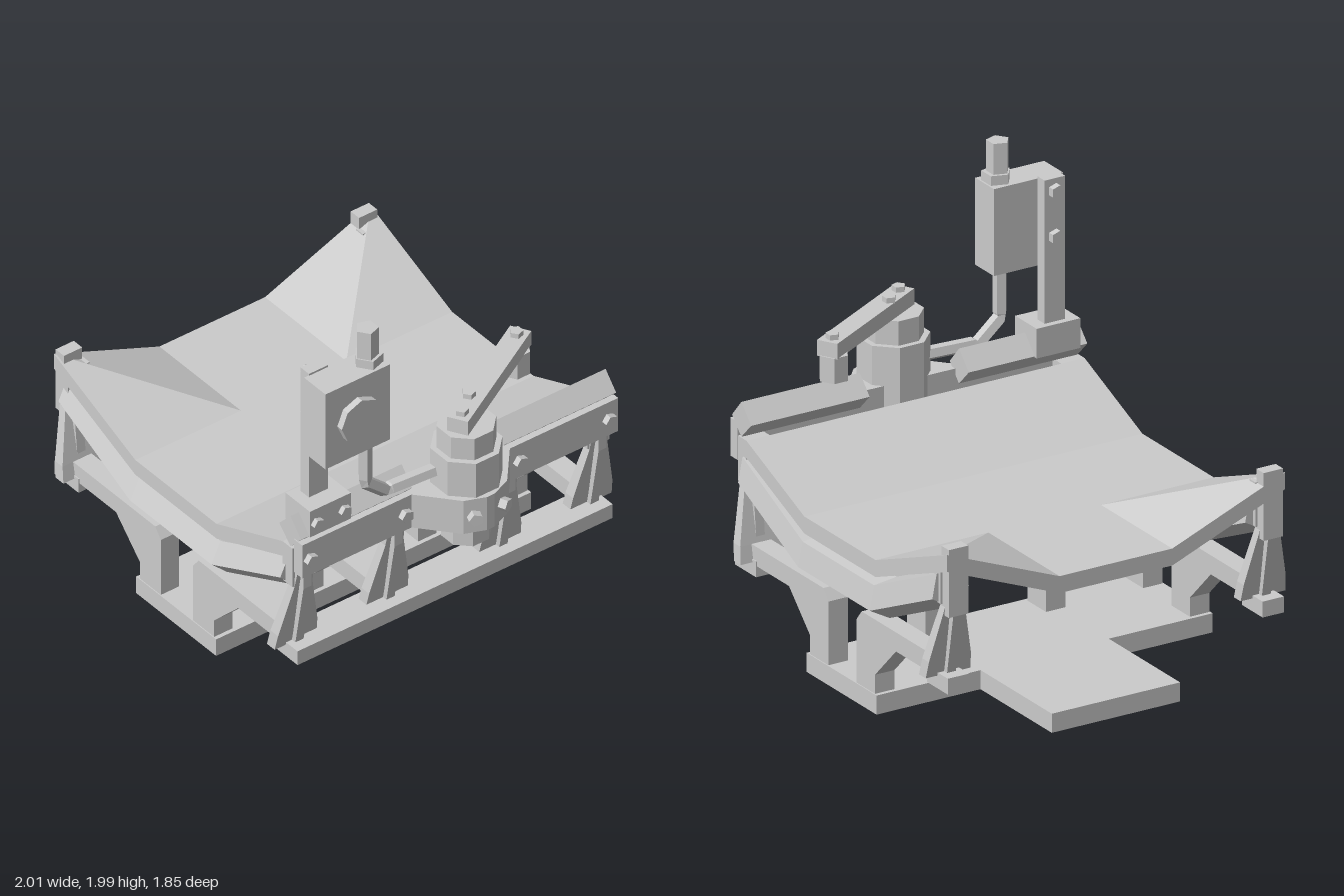
import * as THREE from 'three';

const grey = new THREE.MeshStandardMaterial({ color: 0xcccccc, flatShading: true, side: THREE.DoubleSide });

export function createModel() {
  const root = new THREE.Group();
  const V = (x, y, z) => new THREE.Vector3(x, y, z);

  function add(name, geo, x = 0, y = 0, z = 0) {
    const m = new THREE.Mesh(geo, grey);
    m.name = name;
    m.position.set(x, y, z);
    root.add(m);
    return m;
  }
  // Box given by its extents on each axis
  const box = (name, x0, x1, y0, y1, z0, z1) =>
    add(name, new THREE.BoxGeometry(x1 - x0, y1 - y0, z1 - z0), (x0 + x1) / 2, (y0 + y1) / 2, (z0 + z1) / 2);
  // Upright prism with n sides
  const drum = (name, x, z, y0, y1, r, n, turn = 0) =>
    add(name, new THREE.CylinderGeometry(r, r, y1 - y0, n).rotateY(turn), x, (y0 + y1) / 2, z);
  // Bolt or dial with its axis along x
  const knob = (name, x0, x1, y, z, r = 0.033, n = 5) =>
    add(name, new THREE.CylinderGeometry(r, r, x1 - x0, n).rotateZ(Math.PI / 2), (x0 + x1) / 2, y, z);
  // Outline in x-y extruded along z, centred on z
  const plate = (name, pts, z, depth) =>
    add(name, new THREE.ExtrudeGeometry(new THREE.Shape(pts.map(p => new THREE.Vector2(...p))),
      { depth, bevelEnabled: false }).translate(0, 0, -depth / 2), 0, 0, z);

  function fromTriangles(tris) {
    const g = new THREE.BufferGeometry().setFromPoints(tris);
    g.computeVertexNormals();
    return g;
  }
  // Solid through equal-sized loops, turned outward by its signed volume
  function loft(loops) {
    const t = [], n = loops[0].length, last = loops.length - 1;
    for (let i = 0; i < last; i++) for (let j = 0; j < n; j++) {
      const k = (j + 1) % n, [p, q] = [loops[i], loops[i + 1]];
      t.push(p[j], p[k], q[k], p[j], q[k], q[j]);
    }
    for (let j = 1; j < n - 1; j++) {
      t.push(loops[0][0], loops[0][j + 1], loops[0][j]);
      t.push(loops[last][0], loops[last][j], loops[last][j + 1]);
    }
    let vol = 0;
    for (let i = 0; i < t.length; i += 3) vol += t[i].dot(t[i + 1].clone().cross(t[i + 2]));
    return fromTriangles(vol < 0 ? t.reverse() : t);
  }

  // Base plate with side tongue
  box('basePlate', -0.42, 0.15, 0, 0.09, -0.865, 0.865);
  box('baseTongue', -1, -0.42, 0, 0.09, -0.33, 0.33);

  // Brackets and legs; side 1 is +x, side -1 is mirrored about the base centre
  const mid = -0.135;
  const mx = (side, x) => side > 0 ? x : 2 * mid - x;
  const bracket = [[0.62, 0.44], [0.02, 0.44], [-0.02, 0.39], [-0.02, 0.09], [0.13, 0.09],
    [0.13, 0.18], [0.3, 0.35], [0.62, 0.35]];
  const rib = [[0.6, 0.36], [0.67, 0.36], [0.73, 0.7], [0.73, 0.82], [0.68, 0.82], [0.63, 0.66]];
  for (const side of [1, -1]) {
    for (const z of side > 0 ? [-0.81, -0.31, 0.31, 0.81] : [-0.81, 0.81]) {
      const flip = pts => pts.map(([x, y]) => [mx(side, x), y]);
      plate('supportBracket', flip(bracket), Math.sign(z) * (Math.abs(z) > 0.5 ? 0.81 : 0.31), 0.1);
      plate('legRib', flip(rib), z, 0.045);
      // Flared flange on the inner side of the rib
      const row = (y, x0, x1, h) => [V(mx(side, x0), y, z - h), V(mx(side, x1), y, z - h),
        V(mx(side, x1), y, z + h), V(mx(side, x0), y, z + h)];
      add('legFlange', loft([row(0.36, 0.59, 0.645, 0.115), row(0.44, 0.605, 0.66, 0.108),
        row(0.7, 0.66, 0.7, 0.05), row(0.8, 0.68, 0.72, 0.045)]));
    }
  }
  box('footRail', 0.56, 0.73, 0.3, 0.375, -0.865, 0.865);
  for (const s of [-1, 1]) {
    const z = 0.81 * s;
    box('cornerFoot', -1, -0.83, 0.3, 0.375, z - 0.055, z + 0.055);
    box('cornerPost', -1, -0.94, 0.66, 0.98, z - 0.05, z + 0.05);
    box('tubeClamp', -0.95, -0.9, 0.71, 0.92, z - 0.06, z + 0.06);
    box('tubeClamp', 0.63, 0.7, 0.71, 0.92, z - 0.06, z + 0.06);
  }

  // Bent pentagonal tubes under the deck edges
  for (const zc of [0.8, -0.81]) {
    const ring = ([x, y]) => Array.from({ length: 5 }, (_, i) => {
      const a = (61 + 72 * i) * Math.PI / 180;
      return V(x, y + 0.1 * Math.sin(a), zc + 0.1 * Math.cos(a));
    });
    add('deckTube', loft([[-0.93, 0.775], [-0.42, 0.54], [0.16, 0.54], [0.65, 0.765]].map(ring)));
  }

  // Cradle deck: trough across x, with the middle of the -x end folded flat
  const xs = [-1, -0.42, 0.16, 0.63], zs = [-0.87, -0.29, 0.29, 0.87], thick = 0.08;
  const heights = [0.96, 0.73, 0.73, 0.92];
  const deckPoint = (i, j) => V(xs[i], i === 0 && (j === 1 || j === 2) ? 0.73 : heights[i], zs[j]);
  const drop = p => V(p.x, p.y - thick, p.z);
  const deck = [];
  for (let i = 0; i < 3; i++) for (let j = 0; j < 3; j++) {
    const a = deckPoint(i, j), b = deckPoint(i + 1, j), c = deckPoint(i + 1, j + 1), d = deckPoint(i, j + 1);
    const top = j === 2 ? [a, d, b, b, d, c] : [a, d, c, a, c, b];
    deck.push(...top, ...top.map(drop).reverse());
  }
  const edge = [];
  for (let k = 0; k < 3; k++) edge.push(deckPoint(0, k));
  for (let k = 0; k < 3; k++) edge.push(deckPoint(k, 3));
  for (let k = 3; k > 0; k--) edge.push(deckPoint(3, k));
  for (let k = 3; k > 0; k--) edge.push(deckPoint(k, 0));
  edge.forEach((p, k) => {
    const q = edge[(k + 1) % edge.length];
    deck.push(p, drop(p), drop(q), p, drop(q), q);
  });
  add('cradleDeck', fromTriangles(deck));

  // Side rail with bolts and two diamond bars above it
  box('sideRail', 0.71, 0.77, 0.8, 0.98, -0.865, 0.87);
  for (const z of [0.83, 0.31, -0.32, -0.81]) knob('railBolt', 0.77, 0.8, 0.89, z);
  const diamond = [[0.755, 1.0], [0.68, 1.085], [0.6, 1.0], [0.68, 0.92]];
  plate('diamondBar', diamond, 0.56, 0.61);
  plate('diamondBar', diamond, -0.56, 0.61);

  // Octagonal pivot drum
  const px = 0.81, eighth = Math.PI / 8;
  drum('pivotLower', px, 0, 0.68, 0.85, 0.115, 8, eighth);
  drum('pivotBody', px, 0, 0.8, 1.165, 0.163, 8, eighth);
  drum('pivotUpper', px, 0, 1.165, 1.28, 0.135, 8, eighth);

  // Clamp strap wrapped around the drum
  const strap = [[0.75, 0.27], [0.77, 0.27], [0.945, 0.12], [0.985, 0.02], [0.985, -0.02], [0.945, -0.12],
    [0.77, -0.27], [0.75, -0.27]];
  add('pivotStrap', loft([0.8, 0.98].map(y => strap.map(([x, z]) => V(x, y, z)))));
  for (const s of [-1, 1]) {
    const b = knob('strapBolt', 0.95, 1.0, 0.89, 0.08 * s);
    b.rotation.y = -0.4 * s;
  }

  // Swing arm and its end roller
  const a0 = V(0.83, 1.318, 0.04), a1 = V(0.53, 1.318, -0.49);
  const dir = a1.clone().sub(a0), len = dir.length();
  const arm = add('swingArm', new THREE.BoxGeometry(0.1, 0.075, len + 0.1));
  arm.position.copy(a0).add(a1).multiplyScalar(0.5);
  arm.rotation.y = Math.atan2(dir.x, dir.z);
  for (const [x, z] of [[0.83, 0.04], [0.75, -0.06], [0.53, -0.49]]) drum('armBolt', x, z, 1.35, 1.38, 0.032, 5);
  drum('armRoller', 0.53, -0.485, 1.165, 1.285, 0.07, 6);

  // Control box on its mast
  box('mastMount', 0.585, 0.76, 0.995, 1.135, 0.595, 0.82);
  for (const z of [0.785, 0.635]) knob('mountBolt', 0.755, 0.785, 1.06, z, 0.03);
  box('mast', 0.615, 0.675, 1.1, 1.81, 0.655, 0.76);
  for (const y of [1.755, 1.54]) knob('mastBolt', 0.583, 0.62, y, 0.705);
  box('controlBox', 0.672, 0.825, 1.39, 1.8, 0.43, 0.785);
  knob('dial', 0.825, 0.858, 1.595, 0.61, 0.11, 8);
  drum('aerialCollar', 0.75, 0.493, 1.8, 1.845, 0.067, 5);
  drum('aerial', 0.75, 0.5, 1.84, 1.99, 0.053, 5);

  // Bent conduit from the control box to the drum
  const path = new THREE.CurvePath();
  const bends = [V(0.75, 1.4, 0.51), V(0.75, 1.15, 0.51), V(0.75, 1.055, 0.4), V(0.77, 1.055, 0.12)];
  for (let i = 0; i < 3; i++) path.add(new THREE.LineCurve3(bends[i], bends[i + 1]));
  add('conduit', new THREE.TubeGeometry(path, 24, 0.033, 5));

  return root;
}
